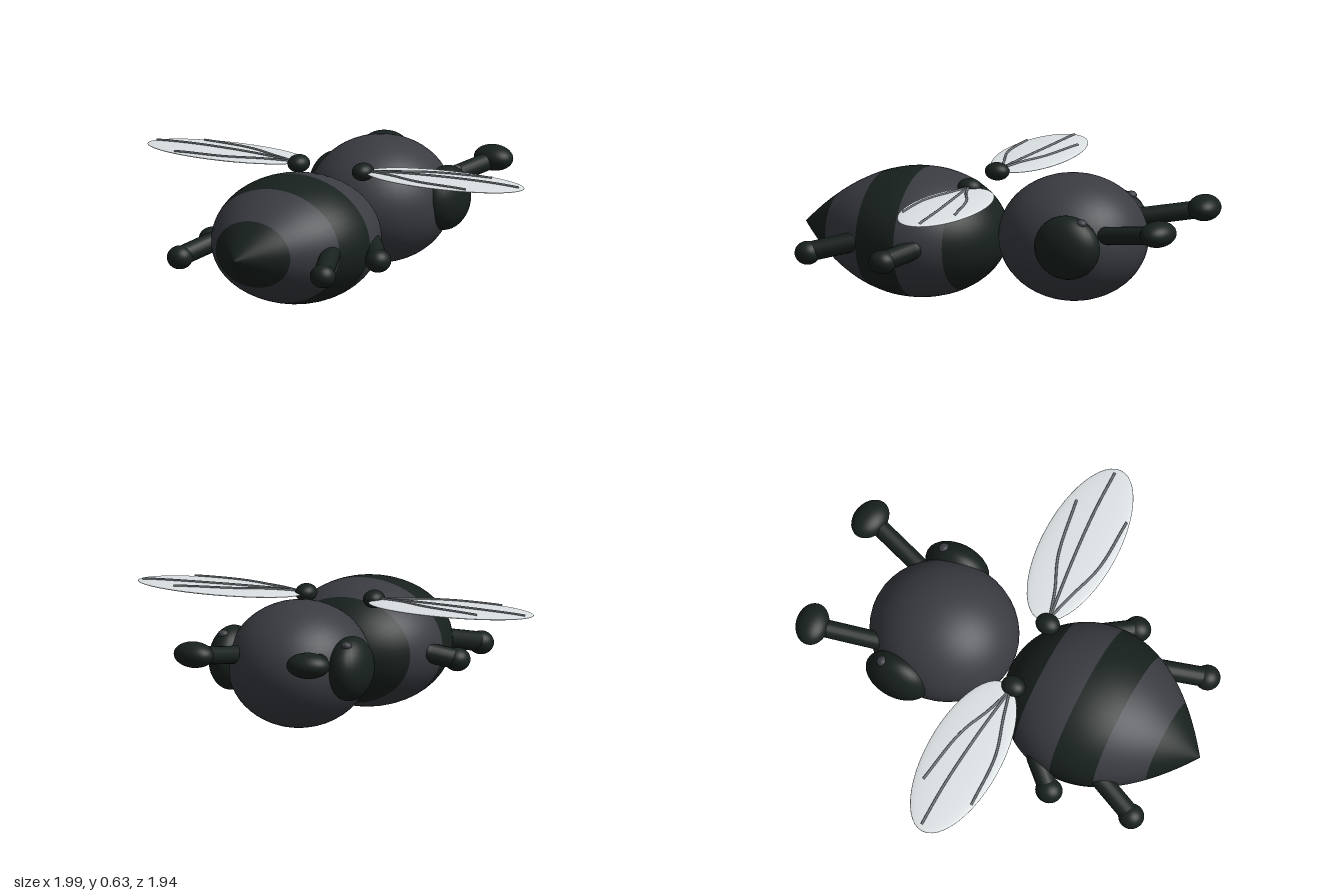
import * as THREE from 'three';

const grey = new THREE.MeshStandardMaterial({ color: 0x3a3c42 });
const dark = new THREE.MeshStandardMaterial({ color: 0x18211e });
const pale = new THREE.MeshStandardMaterial({ color: 0xdde2e5 });
const veinGrey = new THREE.MeshStandardMaterial({ color: 0x6a7074 });

function add(parent, name, geometry, material) {
  const mesh = new THREE.Mesh(geometry, material);
  mesh.name = name;
  parent.add(mesh);
  return mesh;
}

function ellipsoid(parent, name, material, center, radii, segments = 28) {
  const geo = new THREE.SphereGeometry(1, segments, Math.round(segments * 0.7));
  geo.scale(...radii);
  const mesh = add(parent, name, geo, material);
  mesh.position.set(...center);
  return mesh;
}

// Round-ended rod between two points
function rod(parent, name, from, to, radius) {
  const a = new THREE.Vector3(...from), b = new THREE.Vector3(...to);
  const dir = b.clone().sub(a);
  const mesh = add(parent, name, new THREE.CapsuleGeometry(radius, dir.length(), 6, 18), dark);
  mesh.position.copy(a).add(b).multiplyScalar(0.5);
  mesh.quaternion.setFromUnitVectors(new THREE.Vector3(0, 1, 0), dir.normalize());
  return mesh;
}

// Relative body radius along z: rounded towards the head, pointed at the tail
const bodyRadius = z => z < 0.4
  ? Math.sqrt(Math.max(0, 1 - ((z - 0.4) / 0.41) ** 2))
  : 1 - ((z - 0.4) / 0.57) ** 2;

function addBody(parent) {
  const body = new THREE.Group();
  body.name = 'stripedBody';
  const cuts = [-0.01, 0.17, 0.385, 0.59, 0.795, 0.97];
  for (let i = 0; i < cuts.length - 1; i++) {
    const points = [];
    for (let k = 0; k <= 12; k++) {
      // bunch the rings near the rounded end
      const t = i === 0 ? (k / 12) ** 2 : k / 12;
      const z = cuts[i] + (cuts[i + 1] - cuts[i]) * t;
      points.push(new THREE.Vector2(Math.max(0, bodyRadius(z)), z));
    }
    const geo = new THREE.LatheGeometry(points, 48);
    geo.rotateX(Math.PI / 2);
    geo.scale(0.385, 0.3, 1);
    add(body, 'stripe' + (i + 1), geo, i % 2 ? grey : dark).position.y = 0.3;
  }
  parent.add(body);
}

function addWing(parent, s, side) {
  const wing = new THREE.Group();
  wing.name = side + 'Wing';
  const cx = 0.585, cy = 0.57, cz = 0.044, rx = 0.412, ry = 0.014, rz = 0.177;
  ellipsoid(wing, 'wingBlade', pale, [s * cx, cy, cz], [rx, ry, rz], 48);
  // Veins lie on the curved upper face, given as x, z points
  const veins = [
    [[0.2, 0.085], [0.5, 0.05], [0.75, 0.03], [0.97, 0.025]],
    [[0.2, 0.085], [0.33, 0.045], [0.49, -0.02], [0.77, -0.07]],
    [[0.2, 0.085], [0.33, 0.12], [0.52, 0.175], [0.78, 0.185]],
  ];
  for (const vein of veins) {
    const flat = new THREE.CatmullRomCurve3(vein.map(([x, z]) => new THREE.Vector3(x, 0, z)));
    const path = flat.getPoints(16).map(p => {
      const d = ((p.x - cx) / rx) ** 2 + ((p.z - cz) / rz) ** 2;
      return new THREE.Vector3(s * p.x, cy + ry * Math.sqrt(Math.max(0, 1 - d)) + 0.002, p.z);
    });
    add(wing, 'wingVein', new THREE.TubeGeometry(new THREE.CatmullRomCurve3(path), 32, 0.006, 8), veinGrey);
  }
  ellipsoid(wing, 'wingJoint', dark, [s * 0.172, 0.572, 0.09], [0.05, 0.042, 0.058]);
  parent.add(wing);
}

function addSide(parent, s, side) {
  // Eye with a small highlight
  ellipsoid(parent, side + 'Eye', dark, [s * 0.3, 0.36, -0.445], [0.098, 0.15, 0.158]);
  ellipsoid(parent, side + 'EyeHighlight', grey, [s * 0.312, 0.482, -0.52], [0.026, 0.02, 0.026], 16);
  // Antenna
  rod(parent, side + 'AntennaStalk', [s * 0.2, 0.405, -0.57], [s * 0.285, 0.45, -0.86], 0.042);
  ellipsoid(parent, side + 'AntennaTip', dark, [s * 0.29, 0.46, -0.892], [0.102, 0.06, 0.077])
    .rotation.y = -s * 0.22;
  // Legs with round feet
  rod(parent, side + 'FrontLeg', [s * 0.345, 0.295, 0.3], [s * 0.44, 0.25, 0.41], 0.047);
  ellipsoid(parent, side + 'FrontFoot', dark, [s * 0.445, 0.248, 0.415], [0.06, 0.055, 0.064]);
  rod(parent, side + 'RearLeg', [s * 0.3, 0.3, 0.6], [s * 0.38, 0.25, 0.805], 0.046);
  ellipsoid(parent, side + 'RearFoot', dark, [s * 0.383, 0.245, 0.81], [0.06, 0.055, 0.06]);
  addWing(parent, s, side);
}

export function createModel() {
  const model = new THREE.Group();
  model.name = 'bee';
  addBody(model);
  ellipsoid(model, 'head', grey, [0, 0.34, -0.357], [0.33, 0.295, 0.35], 40);
  addSide(model, 1, 'left');
  addSide(model, -1, 'right');
  return model;
}
